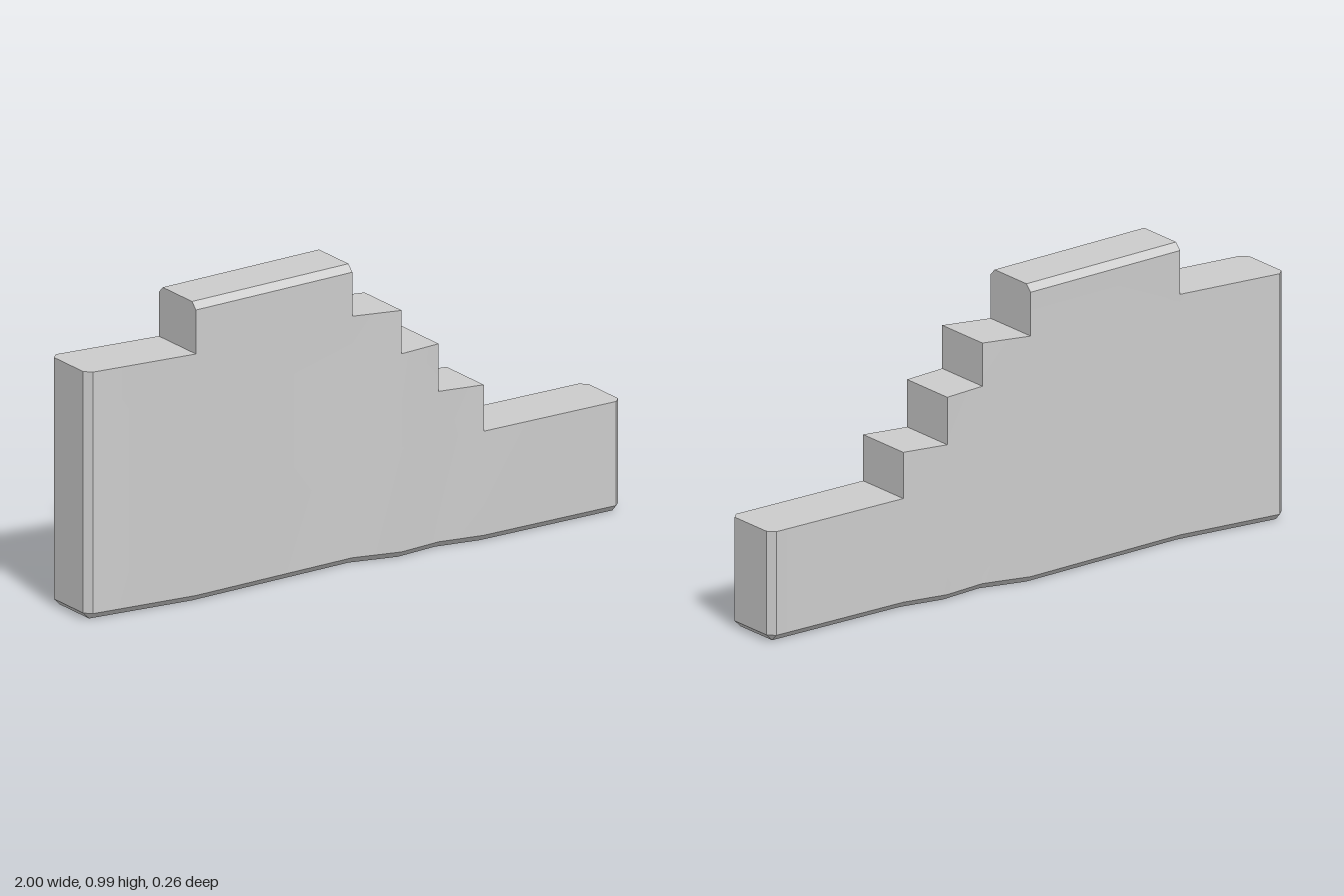
import * as THREE from 'three';
import { toCreasedNormals } from 'three/addons/utils/BufferGeometryUtils.js';

const HALF = 0.106;    // half thickness of the wall
const BEVEL = 0.022;
const TOP = 0.985;     // crest of the tallest section
const LEVELS = [BEVEL, 0.365, 0.518, 0.675, 0.818, TOP - BEVEL];

// Plan stations: x, centre z; the first and last are the bevelled ends
const STATIONS = [
  [-1, -0.006], [-0.978, -0.006], [-0.61, 0.02], [0.004, -0.025], [0.165, 0.011],
  [0.316, -0.009], [0.47, 0.014], [0.978, -0.006], [1, -0.006],
];
// Height of the section following each station
const HEIGHTS = [0.818, 0.818, TOP, 0.818, 0.675, 0.518, 0.365, 0.365];

// Cross-section rows (y, half width) from the foot up to height h
function rows(station, h) {
  const end = station === 0 || station === STATIONS.length - 1;
  const half = end ? HALF - BEVEL : HALF;
  const list = [[end ? BEVEL : 0, HALF - BEVEL]];
  LEVELS.filter((y) => y <= h).forEach((y) => list.push([y, half]));
  if (h === TOP) list.push([TOP, HALF - BEVEL]);
  return list;
}

function buildWall() {
  const positions = [];
  const point = (s, [y, half], side) =>
    new THREE.Vector3(STATIONS[s][0], y, STATIONS[s][1] + side * half);
  const tri = (a, b, c) => {
    const area = b.clone().sub(a).cross(c.clone().sub(a)).length();
    if (area > 1e-8) [a, b, c].forEach((p) => positions.push(p.x, p.y, p.z));
  };
  const quad = (a, b, c, d) => { tri(a, b, c); tri(a, c, d); };

  // Upright face at a station, dir +1 facing +x, from height low upward
  const riser = (s, h, low, dir) => {
    const r = rows(s, h).filter(([y]) => y >= low);
    for (let k = 0; k + 1 < r.length; k++) {
      quad(point(s, r[k], dir), point(s, r[k], -dir),
        point(s, r[k + 1], -dir), point(s, r[k + 1], dir));
    }
  };

  HEIGHTS.forEach((h, i) => {
    const a = rows(i, h), b = rows(i + 1, h), last = a.length - 1;
    // Front and back faces
    for (let k = 0; k < last; k++) {
      quad(point(i, a[k], 1), point(i + 1, b[k], 1),
        point(i + 1, b[k + 1], 1), point(i, a[k + 1], 1));
      quad(point(i + 1, b[k], -1), point(i, a[k], -1),
        point(i, a[k + 1], -1), point(i + 1, b[k + 1], -1));
    }
    // Tread and underside
    quad(point(i, a[last], 1), point(i + 1, b[last], 1),
      point(i + 1, b[last], -1), point(i, a[last], -1));
    quad(point(i, a[0], -1), point(i + 1, b[0], -1),
      point(i + 1, b[0], 1), point(i, a[0], 1));
    // Ends and step risers
    const before = i > 0 ? HEIGHTS[i - 1] : 0;
    const after = i + 1 < HEIGHTS.length ? HEIGHTS[i + 1] : 0;
    if (h > before) riser(i, h, before, -1);
    if (h > after) riser(i + 1, h, after, 1);
  });

  const geometry = new THREE.BufferGeometry();
  geometry.setAttribute('position', new THREE.Float32BufferAttribute(positions, 3));
  return toCreasedNormals(geometry, 0.5);
}

export function createModel() {
  const group = new THREE.Group();
  group.name = 'steppedWall';
  const wall = new THREE.Mesh(buildWall(), new THREE.MeshStandardMaterial({ color: 0xcccccc }));
  wall.name = 'wall';
  group.add(wall);
  return group;
}
